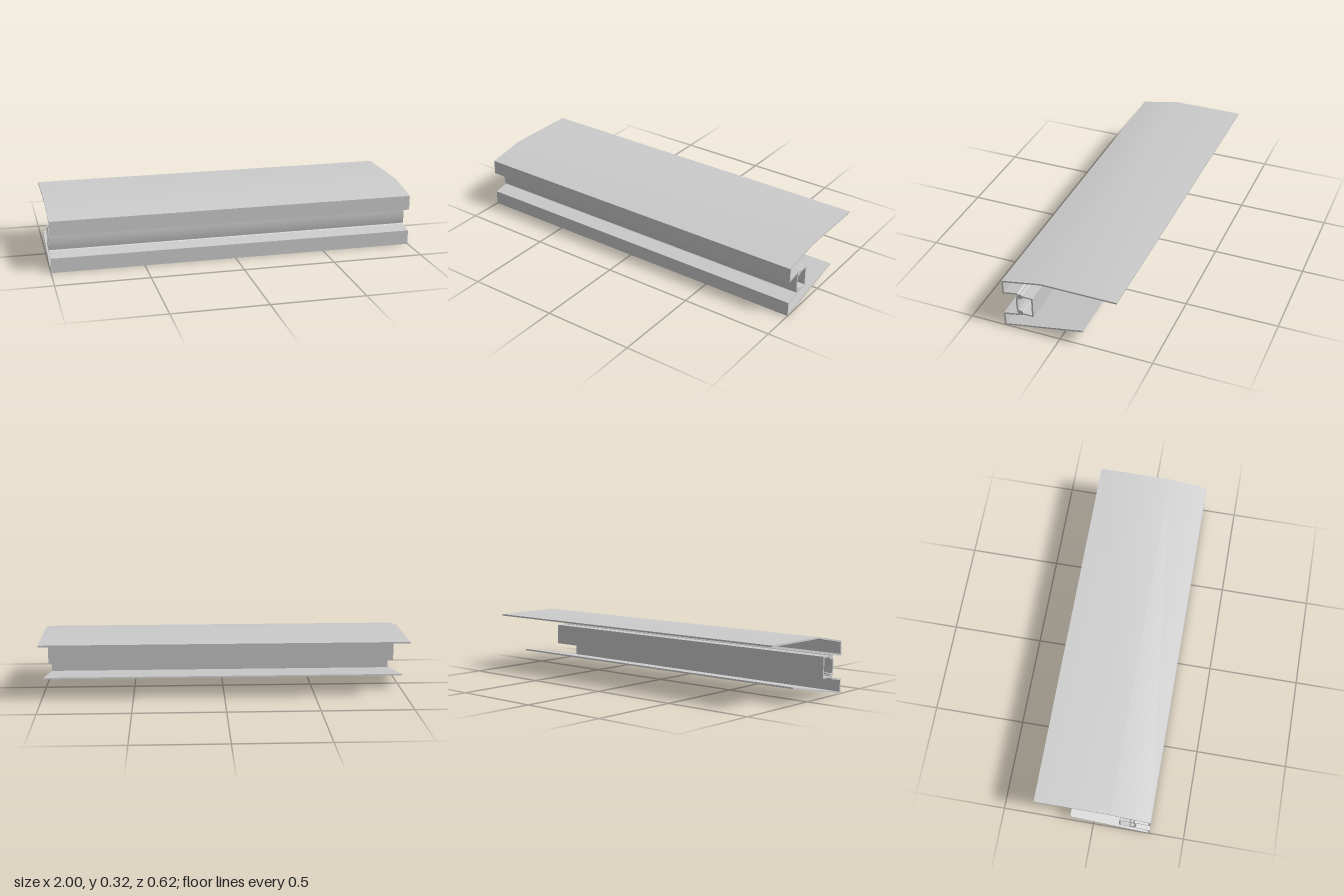
import * as THREE from 'three';
import { toCreasedNormals } from 'three/addons/utils/BufferGeometryUtils.js';

const LENGTH = 2, WALL = 0.0086, MID_Y = 0.1575;
const material = new THREE.MeshStandardMaterial({ color: 0xcccccc });

// Extrudes a cross-section drawn in (z, y) along the x axis
function extrusion(name, points) {
  const geometry = new THREE.ExtrudeGeometry(new THREE.Shape(points), { depth: LENGTH, bevelEnabled: false });
  geometry.translate(0, 0, -LENGTH / 2).rotateY(-Math.PI / 2);
  const mesh = new THREE.Mesh(toCreasedNormals(geometry, 0.5), material);
  mesh.name = name;
  return mesh;
}

// Thickens a centre line into a sheet outline with mitred corners
function sheet(line) {
  const pts = line.map(([z, y]) => new THREE.Vector2(z, y));
  const normal = (a, b) => new THREE.Vector2(a.y - b.y, b.x - a.x).normalize();
  const left = [], right = [];
  pts.forEach((p, i) => {
    const n0 = normal(pts[Math.max(i - 1, 0)], pts[Math.max(i, 1)]);
    const last = pts.length - 1;
    const n1 = normal(pts[Math.min(i, last - 1)], pts[Math.min(i + 1, last)]);
    const mitre = n0.clone().add(n1).multiplyScalar(WALL / 2 / (1 + n0.dot(n1)));
    left.push(p.clone().add(mitre));
    right.unshift(p.clone().sub(mitre));
  });
  return [...left, ...right];
}

export function createModel() {
  const group = new THREE.Group();
  group.name = 'frameProfile';

  // Upper and lower folded sheets
  group.add(extrusion('upperSheet', sheet([
    [-0.311, 0.319], [0.095, 0.319], [0.307, 0.2795], [0.307, 0.208], [0.229, 0.2225], [0.22, 0.216],
  ])));
  group.add(extrusion('lowerSheet', sheet([
    [-0.127, 0.0875], [0.307, 0.0055], [0.307, 0.0765], [0.229, 0.0915], [0.22, 0.099],
  ])));

  // U-shaped channel behind the front plate
  group.add(extrusion('rearChannel', sheet([
    [0.21, 0.212], [0.147, 0.212], [0.147, 0.103], [0.21, 0.103],
  ])));

  // Slightly bowed front plate
  const bow = new THREE.QuadraticBezierCurve(
    new THREE.Vector2(0.2265, 0.213), new THREE.Vector2(0.2395, MID_Y), new THREE.Vector2(0.2265, 0.102));
  group.add(extrusion('frontPlate', sheet(bow.getPoints(20).map((p) => [p.x, p.y]))));

  // Locking blocks and round beads, mirrored about the middle height
  for (const [side, s] of [['upper', 1], ['lower', -1]]) {
    const block = [[0.205, 0.038], [0.229, 0.038], [0.23, 0.058], [0.205, 0.058]];
    group.add(extrusion(side + 'LockingBlock', block.map(([z, y]) => new THREE.Vector2(z, MID_Y + s * y))));
    const bead = new THREE.EllipseCurve(0.212, MID_Y + s * 0.0525, 0.0125, 0.0125).getPoints(20).slice(0, -1);
    group.add(extrusion(side + 'Bead', bead));
  }
  return group;
}
